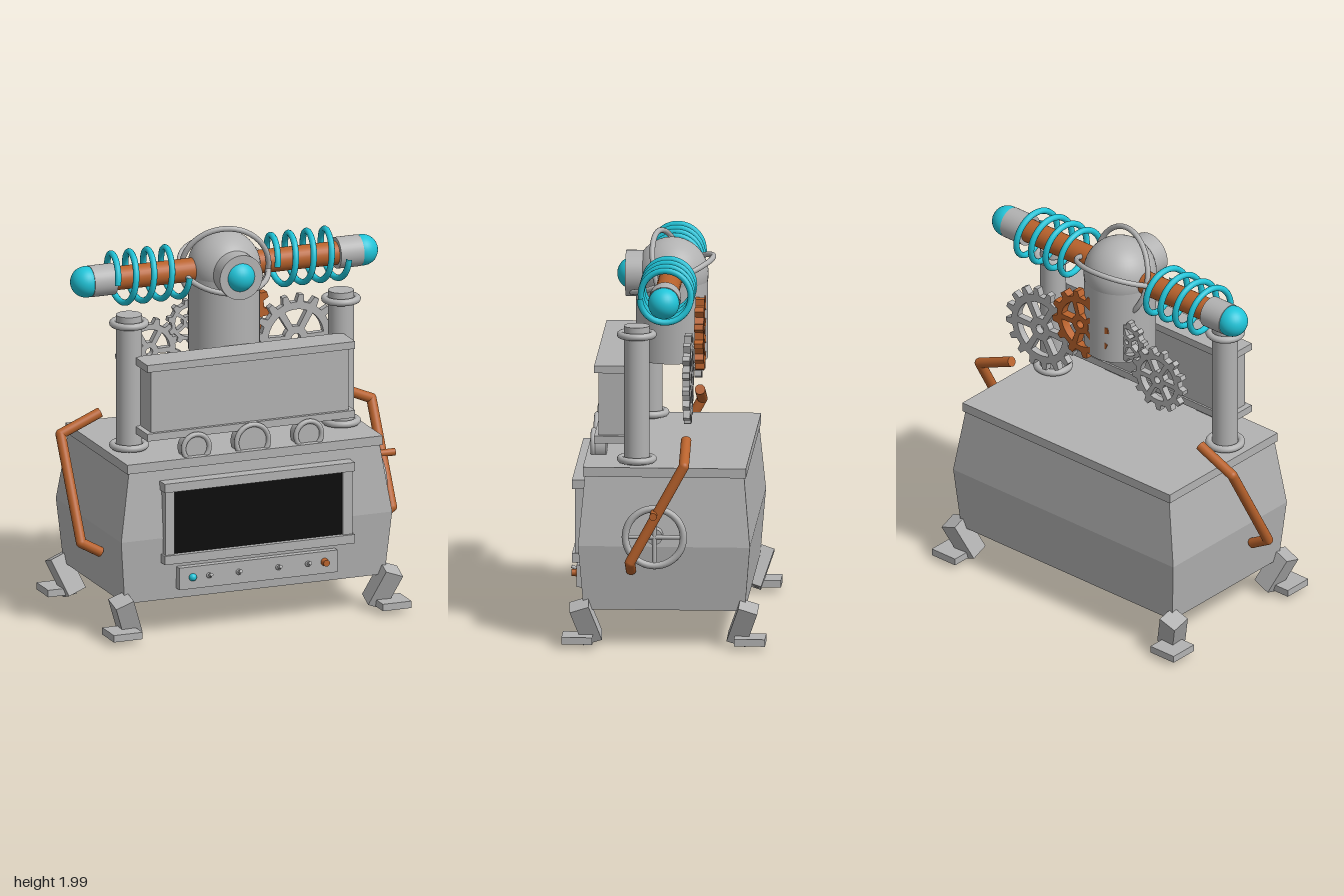
import * as THREE from 'three';

const mat = (name, color, side = THREE.FrontSide) => {
  const m = new THREE.MeshStandardMaterial({ color, side });
  m.name = name;
  return m;
};

export function createModel() {
  const steel = mat('steel', 0xb2b2b2);
  const copper = mat('copper', 0xb8622c);
  const teal = mat('teal', 0x20c4d8);
  const black = mat('black glass', 0x0a0a0a);
  const root = new THREE.Group();
  root.name = 'machine';
  const g = new THREE.Group();
  g.name = 'assembly';
  g.position.x = -0.022;
  root.add(g);

  const add = (name, geo, m, x = 0, y = 0, z = 0) => {
    const mesh = new THREE.Mesh(geo, m);
    mesh.name = name;
    mesh.position.set(x, y, z);
    g.add(mesh);
    return mesh;
  };
  const box = (name, w, h, d, m, x, y, z) => add(name, new THREE.BoxGeometry(w, h, d), m, x, y, z);
  const sphere = (name, r, m, x, y, z) => add(name, new THREE.SphereGeometry(r, 32, 20), m, x, y, z);
  // Cylinder between two points
  const rod = (name, a, b, r, m, seg = 28) => {
    const A = new THREE.Vector3(...a), B = new THREE.Vector3(...b);
    const d = B.clone().sub(A);
    const mesh = add(name, new THREE.CylinderGeometry(r, r, d.length(), seg), m);
    mesh.position.copy(A).add(B).multiplyScalar(0.5);
    mesh.quaternion.setFromUnitVectors(new THREE.Vector3(0, 1, 0), d.normalize());
    return mesh;
  };
  const ring = (name, r, t, m, x, y, z) => add(name, new THREE.TorusGeometry(r, t, 12, 48), m, x, y, z);

  // Cabinet: stacked rectangles [y, halfWidth, halfDepth], widest at the middle
  const levels = [[0.19, 0.705, 0.405], [0.52, 0.735, 0.432], [0.87, 0.68, 0.4]];
  const corner = ([y, w, d], i) => [[w, y, d], [w, y, -d], [-w, y, -d], [-w, y, d]][i % 4];
  const pos = [];
  const quad = (a, b, c, d) => pos.push(...a, ...b, ...c, ...a, ...c, ...d);
  for (let l = 0; l < 2; l++) for (let i = 0; i < 4; i++) {
    quad(corner(levels[l], i), corner(levels[l], i + 1), corner(levels[l + 1], i + 1), corner(levels[l + 1], i));
  }
  quad(...[3, 2, 1, 0].map(i => corner(levels[0], i)));
  quad(...[0, 1, 2, 3].map(i => corner(levels[2], i)));
  const cabinet = new THREE.BufferGeometry();
  cabinet.setAttribute('position', new THREE.Float32BufferAttribute(pos, 3));
  cabinet.computeVertexNormals();
  add('cabinet', cabinet, steel);
  box('lid', 1.385, 0.048, 0.82, steel, 0, 0.891, 0);

  // Window with frame
  box('windowBacking', 0.98, 0.38, 0.05, steel, 0, 0.6, 0.414);
  box('windowGlass', 0.918, 0.336, 0.008, black, 0, 0.602, 0.442);
  for (const y of [0.79, 0.413]) box('frameRail', 1.032, 0.046, 0.08, steel, 0, y, 0.434);
  for (const s of [-1, 1]) box('frameStile', 0.05, 0.34, 0.07, steel, s * 0.482, 0.602, 0.425);

  // Control strip with lamps and toggles
  box('controlPanel', 0.858, 0.115, 0.06, steel, 0, 0.302, 0.425);
  sphere('tealLamp', 0.02, teal, -0.357, 0.305, 0.457);
  sphere('copperLamp', 0.02, copper, 0.358, 0.305, 0.457);
  rod('copperKnob', [0.358, 0.305, 0.45], [0.358, 0.305, 0.485], 0.017, copper);
  for (const x of [-0.268, -0.108, 0.108, 0.268]) {
    sphere('toggleBase', 0.015, steel, x, 0.305, 0.455);
    rod('toggle', [x, 0.305, 0.455], [x, 0.318, 0.49], 0.009, steel, 12);
  }

  // Feet: blocks leaning outwards, each with a pad
  for (const sx of [-1, 1]) for (const sz of [-1, 1]) {
    const leg = box('leg', 0.1, 0.205, 0.1, steel, sx * 0.698, 0.128, sz * 0.395);
    leg.quaternion.setFromUnitVectors(new THREE.Vector3(0, 1, 0),
      new THREE.Vector3(sx * 0.08, 0.2, sz * 0.07).normalize());
    box('footPad', 0.155, 0.036, 0.155, steel, sx * 0.73, 0.047, sz * 0.434);
  }

  // Raised console with rims, and gauges below it
  box('console', 1.07, 0.34, 0.14, steel, 0, 1.21, 0.27);
  for (const y of [1.39, 1.03]) box('consoleRim', 1.128, 0.038, 0.17, steel, 0, y, 0.275);
  for (const [x, r] of [[-0.305, 0.083], [0, 0.1], [0.305, 0.083]]) {
    rod('gauge', [x, 0.95, 0.31], [x, 0.95, 0.375], r - 0.008, steel, 40);
    ring('gaugeRim', r - 0.013, 0.013, steel, x, 0.955, 0.377);
  }

  for (const s of [-1, 1]) {
    // Pillars
    rod('pillar', [s * 0.575, 0.9, 0.145], [s * 0.575, 1.62, 0.145], 0.065, steel, 36);
    for (const y of [1.575, 0.938]) ring('pillarRing', 0.082, 0.018, steel, s * 0.575, y, 0.145).rotation.x = Math.PI / 2;
    // Bent side pipes
    const p = [[0.63, 1.045, -0.106], [0.843, 0.955, -0.106], [0.843, 0.46, 0.165], [0.737, 0.4, 0.165]]
      .map(([x, y, z]) => [s * x, y, z]);
    for (let i = 0; i < 3; i++) rod('sidePipe', p[i], p[i + 1], 0.026, copper);
    for (const i of [1, 2]) sphere('pipeElbow', 0.026, copper, ...p[i]);
    // Arm: rod, end sleeve, tip and coil
    rod('armRod', [s * 0.1, 1.77, 0], [s * 0.63, 1.77, 0], 0.06, copper);
    rod('armSleeve', [s * 0.605, 1.77, 0], [s * 0.73, 1.77, 0], 0.08, steel, 36);
    sphere('armTip', 0.079, teal, s * 0.75, 1.77, 0);
    const pts = [];
    for (let i = 0; i <= 96; i++) {
      const t = i / 96, a = t * 4 * Math.PI * 2;
      pts.push(new THREE.Vector3(s * 0.433 - 0.195 + t * 0.39, 1.77 + 0.127 * Math.sin(a), 0.127 * Math.cos(a)));
    }
    add('coil', new THREE.TubeGeometry(new THREE.CatmullRomCurve3(pts), 200, 0.016, 10), teal);
  }

  // Crank wheel on the left side
  rod('wheelHub', [0.7, 0.58, 0.045], [0.785, 0.58, 0.045], 0.04, steel);
  ring('wheelRim', 0.146, 0.018, steel, 0.79, 0.58, 0.045).rotation.y = Math.PI / 2;
  for (let i = 0; i < 4; i++) {
    const a = i * Math.PI / 2;
    rod('wheelSpoke', [0.787, 0.58, 0.045],
      [0.787, 0.58 + 0.145 * Math.cos(a), 0.045 + 0.145 * Math.sin(a)], 0.011, steel, 12);
  }
  rod('crankHandle', [0.78, 0.708, 0.045], [0.907, 0.708, 0.045], 0.019, copper);

  // Head: drum, dome, eye and two tilted hoops
  rod('drum', [0, 1.34, 0], [0, 1.77, 0], 0.18, steel, 48);
  add('dome', new THREE.SphereGeometry(0.184, 48, 24), steel, 0, 1.77, 0);
  rod('eyeSocket', [0, 1.77, 0.1], [0, 1.77, 0.23], 0.116, steel, 40);
  sphere('eye', 0.082, teal, 0, 1.77, 0.193);
  ring('uprightHoop', 0.222, 0.014, steel, 0, 1.77, 0.01).rotation.set(0.28, -0.25, 0);
  ring('levelHoop', 0.226, 0.014, steel, 0, 1.77, 0).rotation.set(Math.PI / 2 + 0.4, 0, 0);

  // Gears: toothed ring with spoke openings and a bored hub
  const gear = (name, x, y, z, r, teeth, spokes, depth, m) => {
    const s = new THREE.Shape();
    const step = Math.PI * 2 / teeth, root = r * 0.83;
    for (let i = 0; i < teeth; i++) {
      for (const [f, q] of [[0, root], [0.4, root], [0.53, r], [0.82, r], [0.95, root]]) {
        const a = (i + f) * step;
        if (i + f === 0) s.moveTo(q, 0);
        else s.lineTo(q * Math.cos(a), q * Math.sin(a));
      }
    }
    s.closePath();
    const wedge = Math.PI * 2 / spokes;
    for (let i = 0; i < spokes; i++) {
      const h = new THREE.Path();
      h.absarc(0, 0, r * 0.66, i * wedge + 0.12, (i + 1) * wedge - 0.12, false);
      h.absarc(0, 0, r * 0.28, (i + 1) * wedge - 0.25, i * wedge + 0.25, true);
      h.closePath();
      s.holes.push(h);
    }
    const bore = new THREE.Path();
    bore.absarc(0, 0, r * 0.11, 0, Math.PI * 2, true);
    s.holes.push(bore);
    const geo = new THREE.ExtrudeGeometry(s, { depth, bevelEnabled: false, curveSegments: 8 });
    geo.translate(0, 0, -depth / 2);
    add(name, geo, m, x, y, z);
  };
  gear('largeGear', 0.427, 1.32, -0.105, 0.228, 16, 6, 0.036, steel);
  gear('copperGear', 0.115, 1.49, -0.15, 0.187, 12, 5, 0.046, copper);
  gear('smallGear', -0.153, 1.47, -0.105, 0.115, 10, 5, 0.036, steel);
  gear('mediumGear', -0.365, 1.335, -0.115, 0.172, 13, 6, 0.036, steel);

  return root;
}
